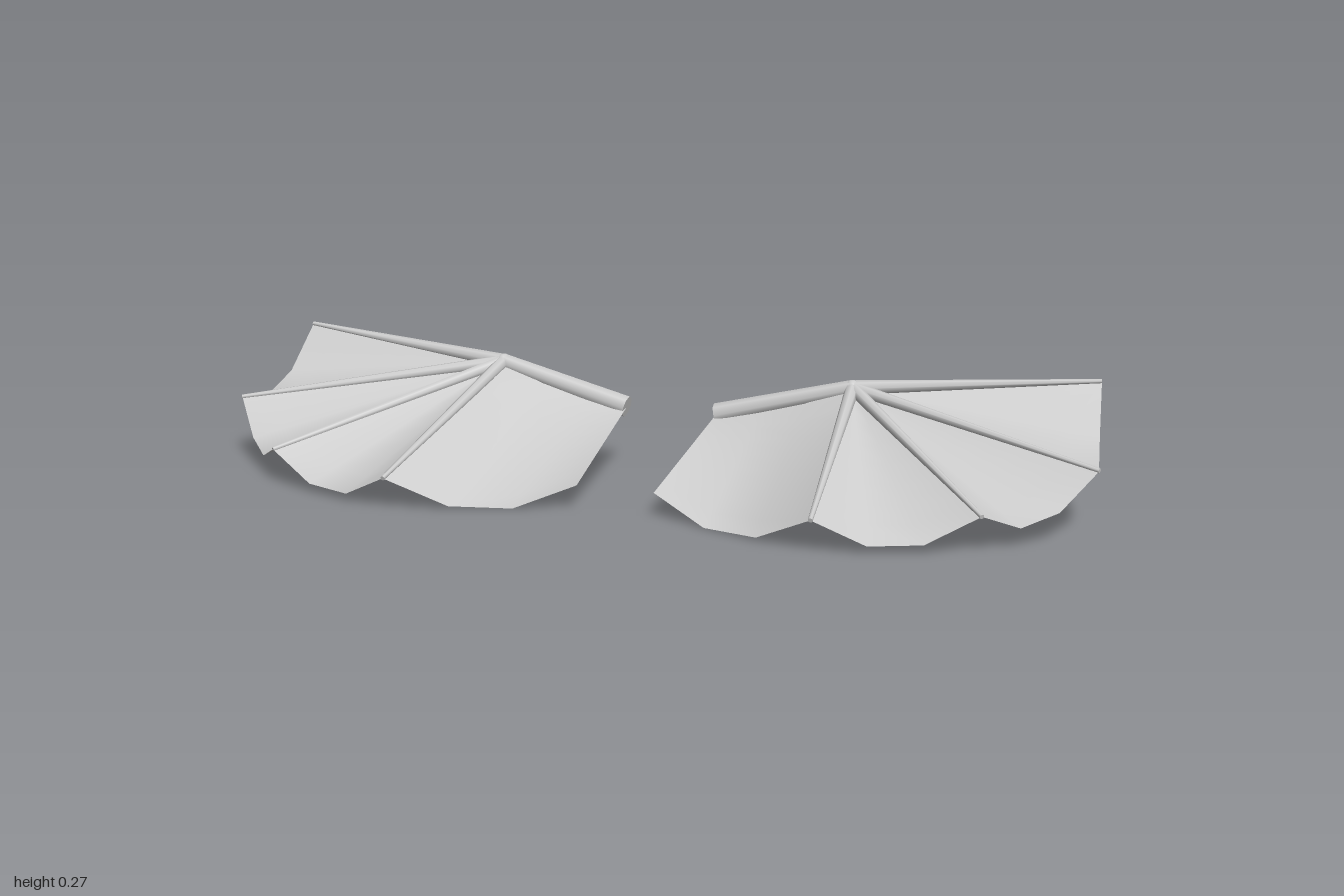
import * as THREE from 'three';

const wingGrey = new THREE.MeshStandardMaterial({ color: 0xcccccc, side: THREE.DoubleSide });
wingGrey.name = 'wingGrey';

const SAG = 0.057;
const V = (x, y, z) => new THREE.Vector3(x, y, z);

function addMesh(parent, geometry, name) {
  const mesh = new THREE.Mesh(geometry, wingGrey);
  mesh.name = name;
  parent.add(mesh);
}

// Tapered round bone between two points
function addBone(parent, a, b, r0, r1, name) {
  const dir = b.clone().sub(a);
  const g = new THREE.CylinderGeometry(r1, r0, dir.length(), 8);
  g.applyQuaternion(new THREE.Quaternion().setFromUnitVectors(V(0, 1, 0), dir.normalize()));
  g.translate((a.x + b.x) / 2, (a.y + b.y) / 2, (a.z + b.z) / 2);
  addMesh(parent, g, name);
}

// Skin stretched from a0-a1 to b0-b1, hanging in three facets between its bones
function addMembrane(parent, a0, a1, b0, b1, power, name) {
  const cols = 3, rows = 8, pos = [], idx = [];
  for (let j = 0; j <= rows; j++) {
    const t = 0.02 + 0.98 * j / rows;
    for (let i = 0; i <= cols; i++) {
      const u = i / cols;
      const p = a0.clone().lerp(a1, u).lerp(b0.clone().lerp(b1, u), t);
      if (i > 0 && i < cols) p.y -= SAG * Math.pow(t, power);
      pos.push(p.x, p.y, p.z);
      if (i < cols && j < rows) {
        const k = j * (cols + 1) + i, n = k + cols + 1;
        idx.push(k, n, k + 1, k + 1, n, n + 1);
      }
    }
  }
  const g = new THREE.BufferGeometry();
  g.setAttribute('position', new THREE.Float32BufferAttribute(pos, 3));
  g.setIndex(idx);
  g.computeVertexNormals();
  addMesh(parent, g, name);
}

function createWing(s, name) {
  const wing = new THREE.Group();
  wing.name = name;
  const root = V(s * 0.108, 0.146, -0.219);
  const elbow = V(s * 0.42, 0.227, -0.232);
  const innerCorner = V(s * 0.088, 0.055, 0.15);
  // Finger tips from the leading edge round to the trailing edge
  const tips = [
    V(s * 0.955, 0.269, -0.302),
    V(s * 0.998, 0.143, -0.02),
    V(s * 0.8, 0.084, 0.195),
    V(s * 0.475, 0.074, 0.303),
  ];

  // Upper arm and elbow
  addBone(wing, root, elbow, 0.025, 0.019, 'upperArm');
  const joint = new THREE.SphereGeometry(0.019, 10, 8);
  joint.translate(elbow.x, elbow.y, elbow.z);
  addMesh(wing, joint, 'elbow');

  // Fingers and the skin between them
  tips.forEach((tip, i) => {
    addBone(wing, elbow, tip, i ? 0.016 : 0.018, 0.005, 'finger' + (i + 1));
    if (i) addMembrane(wing, elbow, elbow, tips[i - 1], tip, 1, 'fingerMembrane' + i);
  });

  // Skin between the arm and the last finger
  addMembrane(wing, elbow, root, tips[3], innerCorner, 0.6, 'armMembrane');
  return wing;
}

export function createModel() {
  const model = new THREE.Group();
  model.name = 'wings';
  model.add(createWing(1, 'leftWing'), createWing(-1, 'rightWing'));
  return model;
}
